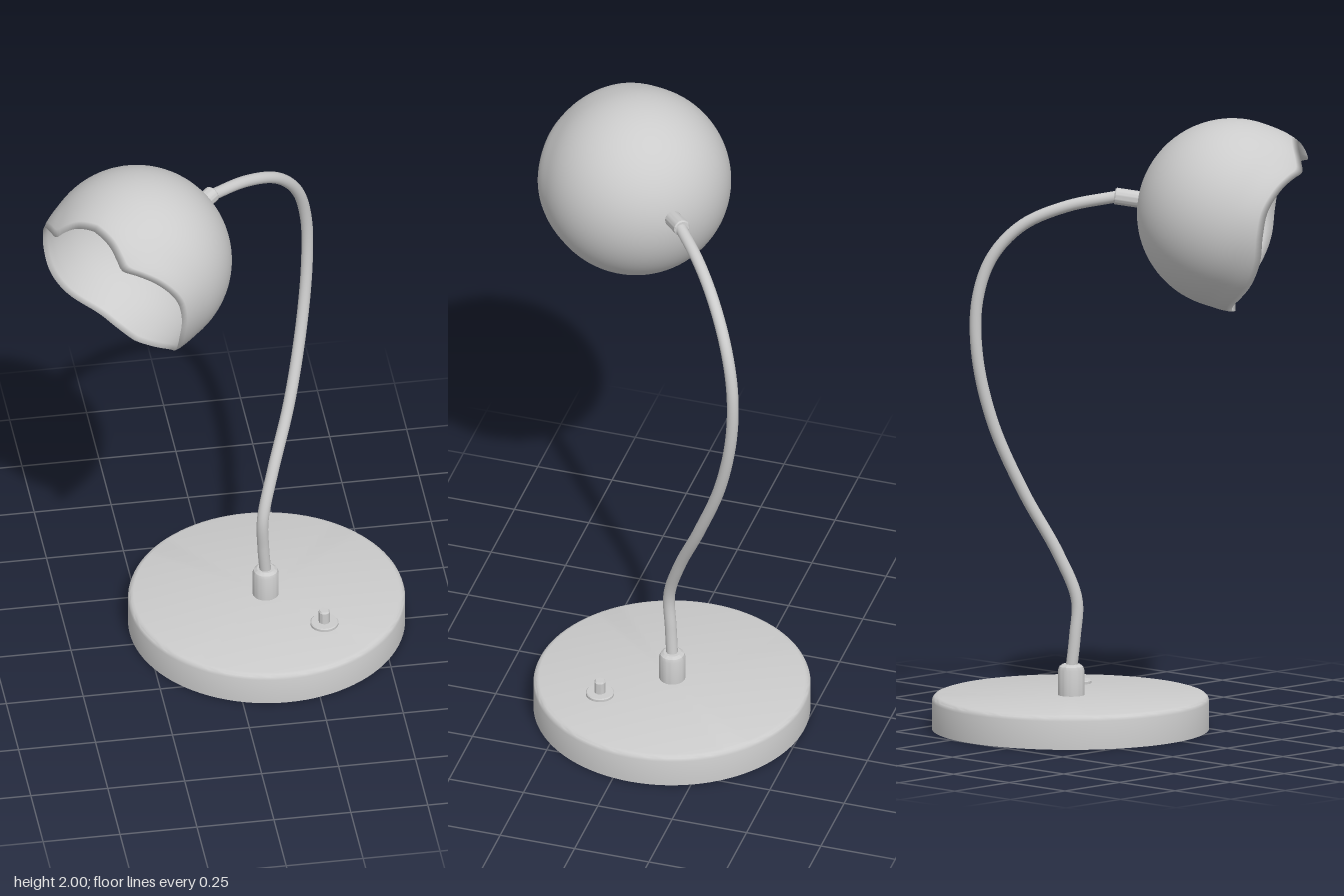
import * as THREE from 'three';
import { mergeVertices, toCreasedNormals } from 'three/addons/utils/BufferGeometryUtils.js';

const material = new THREE.MeshStandardMaterial({ color: 0xcccccc, side: THREE.DoubleSide });
const rad = THREE.MathUtils.degToRad;

function part(name, geometry, x = 0, y = 0, z = 0) {
  const mesh = new THREE.Mesh(geometry, material);
  mesh.name = name;
  mesh.position.set(x, y, z);
  return mesh;
}

// Turned part from [radius, height] pairs, bottom to top
function turned(points, segments = 48) {
  const profile = points.map(([r, h]) => new THREE.Vector2(r, h));
  return toCreasedNormals(new THREE.LatheGeometry(profile, segments), rad(35));
}

// Rim of the shade: angle round the axis from the top, and opening angle from the axis
const rim = new THREE.SplineCurve([
  [0, 48], [18, 46], [32, 43], [42, 42], [52, 48], [65, 57], [80, 65], [95, 68],
  [113, 70], [130, 76], [150, 87], [165, 89], [180, 88],
].map(([a, b]) => new THREE.Vector2(a, b))).getPoints(240);

function rimAngle(phi) {
  let a = THREE.MathUtils.radToDeg(phi) % 360;
  if (a > 180) a = 360 - a;
  let i = 1;
  while (i < rim.length - 1 && rim[i].x < a) i++;
  const p = rim[i - 1], q = rim[i];
  return rad(p.y + (q.y - p.y) * (a - p.x) / (q.x - p.x));
}

// Thin spherical shell: a sphere's rows run from the back pole to the wavy rim and back inside
function shadeGeometry(radius, thickness) {
  const cols = 120, rows = 56;
  const g = new THREE.SphereGeometry(1, cols, rows);
  const pos = g.attributes.position;
  for (let i = 0; i < pos.count; i++) {
    const row = Math.floor(i / (cols + 1));
    const phi = (i % (cols + 1)) / cols * Math.PI * 2;
    const t = row / rows;
    const reach = 1 - Math.abs(2 * t - 1);
    const polar = Math.PI - (Math.PI - rimAngle(phi)) * reach;
    const flare = 1 + 0.03 * THREE.MathUtils.smoothstep(reach, 0.82, 1);
    const r = (t > 0.5 ? radius - thickness : radius) * flare;
    const s = row === 0 || row === rows ? 0 : Math.sin(polar);
    pos.setXYZ(i, r * s * Math.sin(phi), r * s * Math.cos(phi), r * Math.cos(polar));
  }
  g.deleteAttribute('uv');
  g.deleteAttribute('normal');
  const merged = mergeVertices(g, 1e-5);
  merged.computeVertexNormals();
  return merged;
}

export function createModel() {
  const lamp = new THREE.Group();
  lamp.name = 'deskLamp';
  const bx = 0.145, bz = -0.06, top = 0.11;

  // Round base with a softened top edge
  lamp.add(part('base', turned([
    [0, 0], [0.445, 0], [0.445, 0.092], [0.442, 0.101], [0.436, 0.107], [0.427, top], [0, top],
  ], 96), bx, 0, bz));

  // Socket holding the neck
  lamp.add(part('neckSocket', turned([
    [0.042, 0], [0.042, 0.082], [0.038, 0.093], [0.028, 0.1], [0, 0.1],
  ]), 0.142, top, bz));

  // Push switch: washer and pin
  lamp.add(part('switchWasher', turned([[0.045, 0], [0.045, 0.008], [0.042, 0.011], [0, 0.011]]), 0.302, top, 0.133));
  lamp.add(part('switchPin', turned([[0.018, 0], [0.018, 0.05], [0.014, 0.055], [0, 0.055]], 32), 0.302, top, 0.133));

  // Curved neck
  const path = new THREE.CatmullRomCurve3([
    [0.142, 0.19, -0.06], [0.133, 0.3, -0.052], [0.131, 0.42, -0.046], [0.17, 0.57, -0.092],
    [0.237, 0.77, -0.18], [0.29, 1.0, -0.268], [0.316, 1.22, -0.313], [0.314, 1.4, -0.315],
    [0.28, 1.54, -0.283], [0.205, 1.645, -0.222], [0.09, 1.71, -0.135], [-0.05, 1.748, -0.022],
  ].map((p) => new THREE.Vector3(...p)));
  lamp.add(part('neck', new THREE.TubeGeometry(path, 120, 0.019, 20)));

  // Head: local +z points out of the opening
  const head = new THREE.Group();
  head.name = 'head';
  head.position.set(-0.32, 1.694, 0.207);
  head.rotation.y = -0.863;
  head.add(part('shade', shadeGeometry(0.306, 0.008)));

  // Joint behind the shade and the rod inside it
  const axis = new THREE.Group();
  axis.name = 'headJoint';
  axis.rotation.x = 0.14;
  const collar = turned([
    [0, 0], [0.023, 0], [0.027, 0.004], [0.027, 0.1], [0, 0.1],
  ], 32).rotateX(Math.PI / 2);
  axis.add(part('collar', collar, 0, 0, -0.382));
  const rod = new THREE.CapsuleGeometry(0.019, 0.33, 8, 24).rotateX(Math.PI / 2);
  axis.add(part('innerRod', rod, 0, 0, -0.13));
  head.add(axis);
  lamp.add(head);

  return lamp;
}
